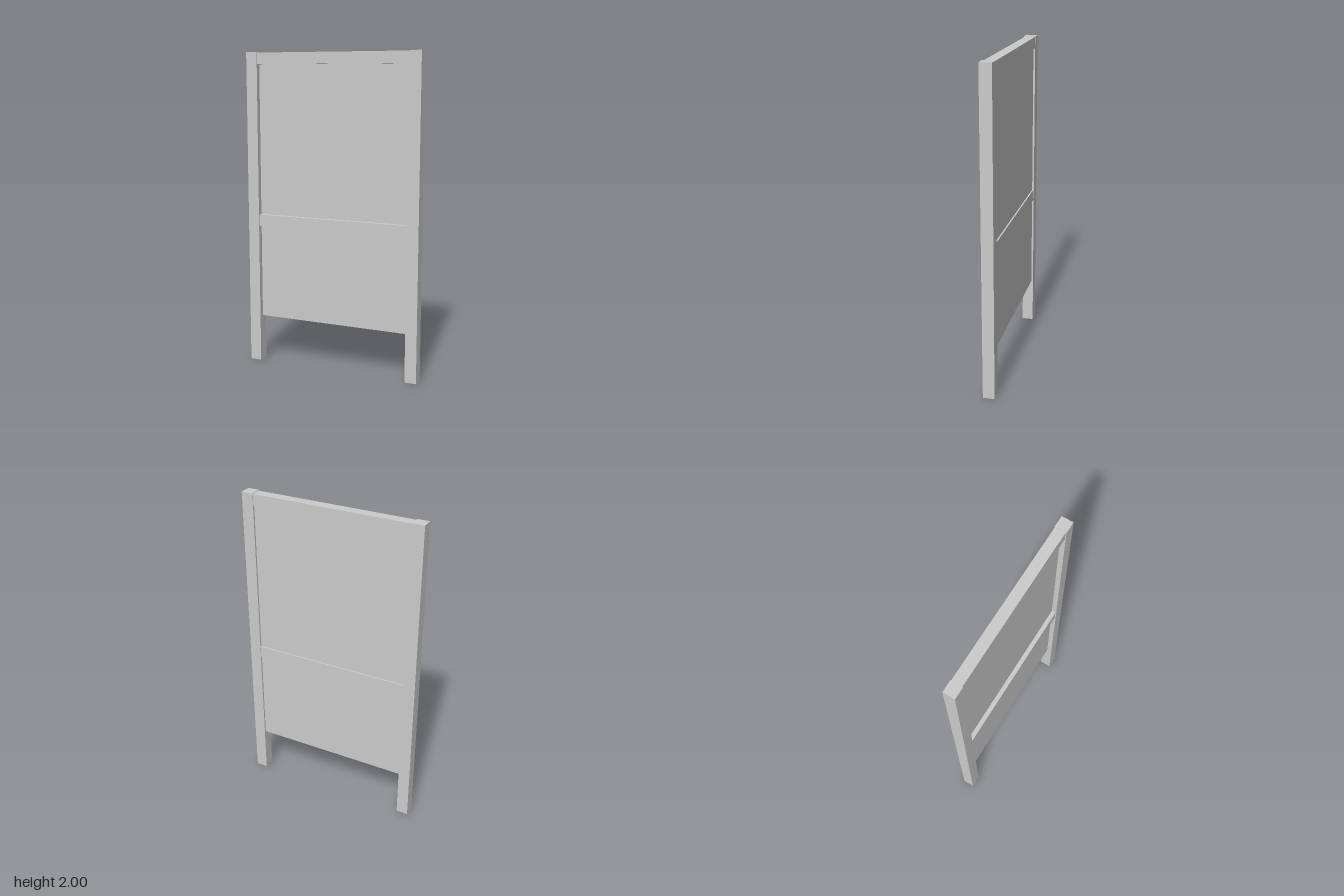
import * as THREE from 'three';

const material = new THREE.MeshStandardMaterial({ color: 0xcccccc, flatShading: true });

// Box given by its limits along each axis
function box(name, [x0, x1], [y0, y1], [z0, z1]) {
  const mesh = new THREE.Mesh(new THREE.BoxGeometry(x1 - x0, y1 - y0, z1 - z0), material);
  mesh.position.set((x0 + x1) / 2, (y0 + y1) / 2, (z0 + z1) / 2);
  mesh.name = name;
  return mesh;
}

export function createModel() {
  const group = new THREE.Group();
  group.name = 'panelledFrame';
  const inner = 0.5, outer = 0.574, postZ = [-0.0365, 0.0365];
  const span = [-inner, inner], railZ = [-0.034, 0.031], panelZ = [-0.025, 0.004];

  // Square posts running from the floor to the top
  group.add(box('leftPost', [inner, outer], [0, 2], postZ));
  group.add(box('rightPost', [-outer, -inner], [0, 2], postZ));

  // Rails set slightly inside the posts
  group.add(box('topRail', span, [1.926, 1.997], railZ));
  group.add(box('middleRail', span, [0.902, 0.975], railZ));

  // Thin panels, recessed deeper at the front than at the back
  group.add(box('upperPanel', span, [0.975, 1.926], panelZ));
  group.add(box('lowerPanel', span, [0.298, 0.902], panelZ));
  return group;
}
